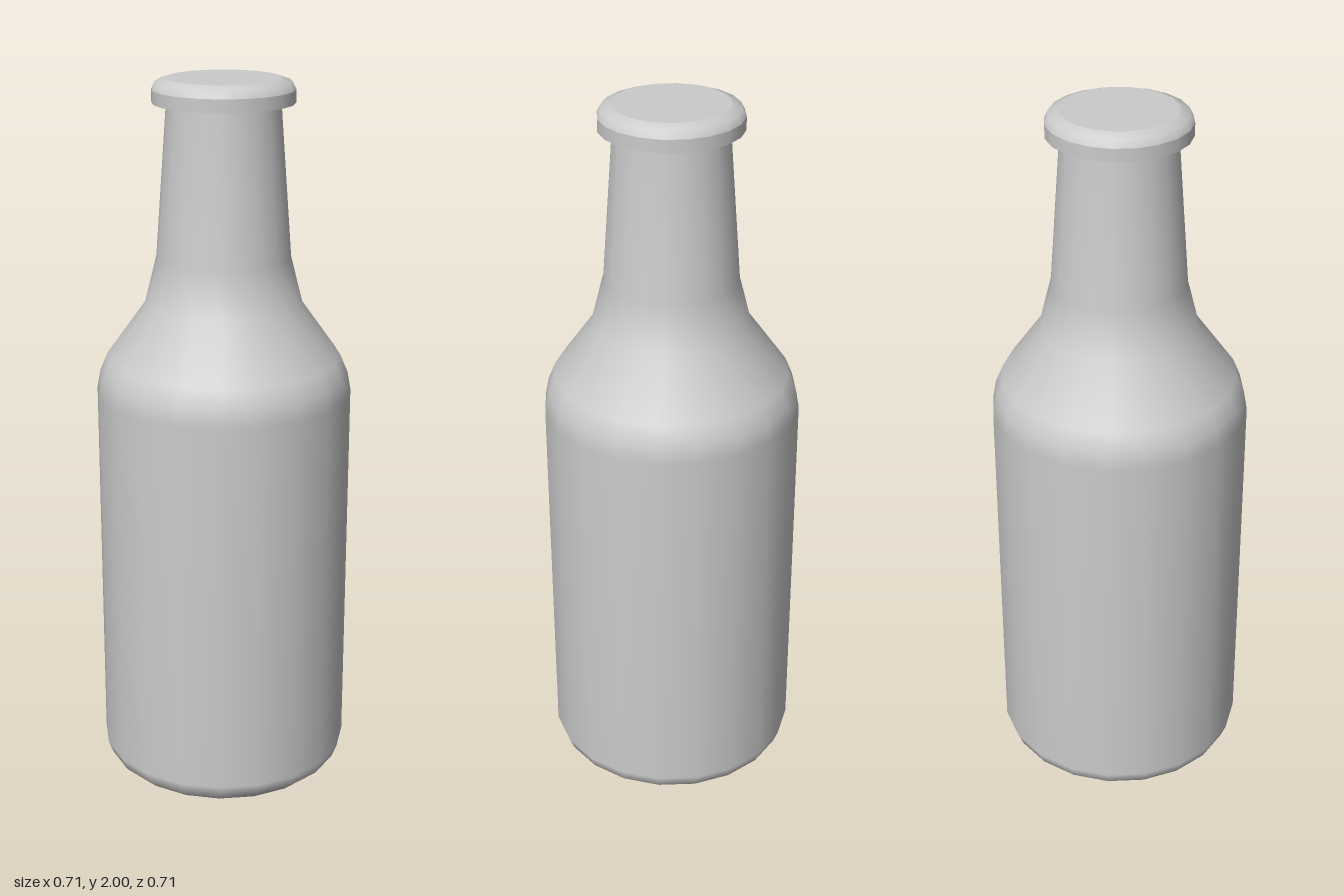
import * as THREE from 'three';

const SIDES = 20;
const material = new THREE.MeshStandardMaterial({ color: 0xcccccc });

// Turns a profile of [radius, height] pairs, listed from bottom to top
function turned(name, profile) {
  const points = profile.map(([r, y]) => new THREE.Vector2(r, y));
  const mesh = new THREE.Mesh(new THREE.LatheGeometry(points, SIDES), material);
  mesh.name = name;
  return mesh;
}

export function createModel() {
  const bottle = new THREE.Group();
  bottle.name = 'bottle';

  // Flat faces are separate from the curved walls so their rims stay crisp
  bottle.add(turned('base', [[0, 0], [0.285, 0]]));

  // Rounded heel, straight body, sloping shoulder and tapered neck
  bottle.add(turned('body', [
    [0.285, 0], [0.315, 0.008], [0.34, 0.03], [0.355, 0.068],
    [0.355, 1.14], [0.346, 1.19], [0.325, 1.24],
    [0.217, 1.39], [0.184, 1.52], [0.153, 1.94],
  ]));

  // Cap: flat underside, short skirt, bevelled shoulder and flat top
  const cap = new THREE.Group();
  cap.name = 'cap';
  cap.add(turned('capUnderside', [[0, 1.935], [0.192, 1.935]]));
  cap.add(turned('capSkirt', [[0.192, 1.935], [0.192, 1.97]]));
  cap.add(turned('capBevel', [[0.192, 1.97], [0.182, 1.99], [0.155, 2]]));
  cap.add(turned('capTop', [[0.155, 2], [0, 2]]));
  bottle.add(cap);

  return bottle;
}
